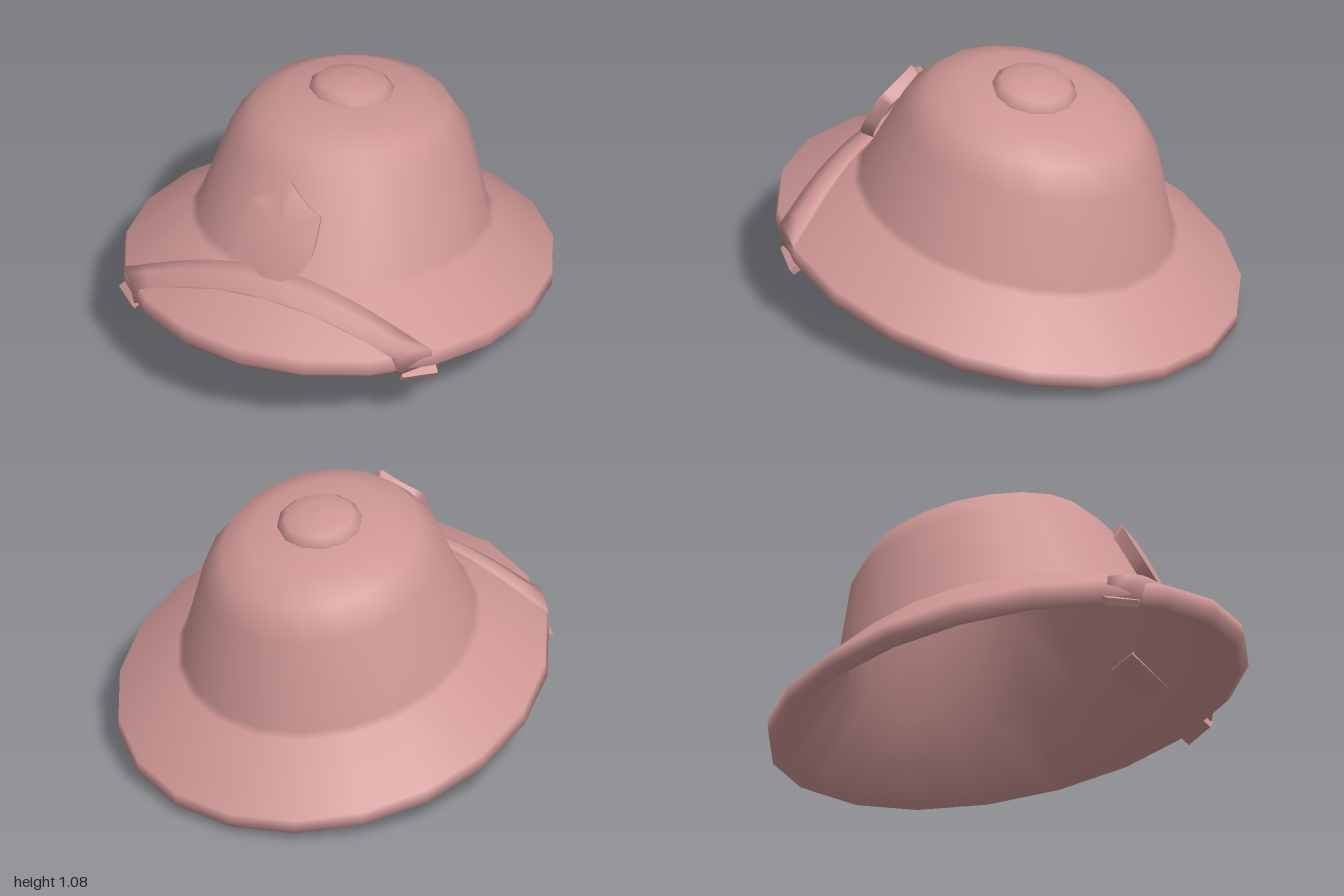
import * as THREE from 'three';

const TILT = THREE.MathUtils.degToRad(10);
const BASE_Y = 0.2;
const BRIM_WIDTH = 0.855; // the helmet is an oval, narrower across than front to back
const CROWN_WIDTH = 0.865;
const material = new THREE.MeshStandardMaterial({ color: 0xcd9694, side: THREE.DoubleSide });

function part(name, geometry) {
  const mesh = new THREE.Mesh(geometry, material);
  mesh.name = name;
  return mesh;
}

function lathe(profile, sides) {
  return new THREE.LatheGeometry(profile.map(([r, y]) => new THREE.Vector2(r, y)), sides);
}

// Geometry from a list of positions and triangle corners
function indexed(positions, index) {
  const geometry = new THREE.BufferGeometry();
  geometry.setAttribute('position', new THREE.Float32BufferAttribute(positions, 3));
  geometry.setIndex(index);
  geometry.computeVertexNormals();
  return geometry;
}

// Height of the tilted brim's upper surface at a given x, z
function brimHeight(x, z) {
  const s = Math.sin(TILT), c = Math.cos(TILT);
  let y = 0.45;
  for (let i = 0; i < 12; i++) {
    const u = z * c + (y - BASE_Y) * s;
    const r = THREE.MathUtils.clamp(Math.hypot(u, x / BRIM_WIDTH), 0.68, 1.01);
    y = BASE_Y + (0.271 - 0.62 * (r - 0.68) + z * s) / c;
  }
  return y;
}

// Arched strap lying over the front of the brim, ends reaching down past the rim
function strapGeometry() {
  const steps = 16, ring = 5, positions = [], index = [];
  for (let i = 0; i <= steps; i++) {
    const t = (i / steps) * 2 - 1, bend = t * t;
    const xb = 0.695 * t, xf = 0.6 * t, xm = (xb + xf) / 2;
    const zb = 0.615 - 0.02 * bend, zf = 0.745 - 0.02 * bend, zm = (zb + zf) / 2;
    const depth = 0.04 + 0.06 * bend * bend;
    const yb = brimHeight(xb, zb) + 0.012;
    const yf = brimHeight(xf, zf) + 0.006;
    const ym = brimHeight(xm, zm) + 0.025;
    const tuck = 0.015 * bend;
    positions.push(xb * 0.98, yb - depth, zb - tuck, xb, yb, zb, xm, ym, zm, xf, yf, zf, xf, yf - depth, zf - tuck);
  }
  for (let i = 0; i < steps; i++) {
    for (let j = 0; j < ring; j++) {
      const a = i * ring + j, b = i * ring + (j + 1) % ring;
      index.push(a, b, a + ring, b, b + ring, a + ring);
    }
  }
  // End caps
  const last = steps * ring;
  for (let j = 1; j < ring - 1; j++) {
    index.push(0, j + 1, j, last, last + j, last + j + 1);
  }
  return indexed(positions, index);
}

// Shield plate with a pointed top, rounded foot and domed face
function shieldGeometry() {
  const shape = new THREE.Shape();
  shape.moveTo(0, 0);
  shape.bezierCurveTo(0.09, 0.01, 0.16, 0.09, 0.16, 0.18);
  shape.lineTo(0.16, 0.315);
  shape.quadraticCurveTo(0.07, 0.35, 0, 0.425);
  shape.quadraticCurveTo(-0.07, 0.35, -0.16, 0.315);
  shape.lineTo(-0.16, 0.18);
  shape.bezierCurveTo(-0.16, 0.09, -0.09, 0.01, 0, 0);
  const outline = shape.getPoints(6).slice(0, -1);
  const n = outline.length, midY = 0.22, positions = [], index = [];
  // Each ring is the outline scaled about its middle: [scale, depth]
  const rings = [[0.9, -0.045], [1, 0.01], [1, 0.01], [0.8, 0.018], [0.5, 0.025], [0.25, 0.028], [0, 0.029]];
  for (const [s, z] of rings) {
    for (const p of outline) positions.push(p.x * s, midY + (p.y - midY) * s, z);
  }
  for (let k = 0; k < rings.length - 1; k++) {
    if (k === 1) continue; // sharp edge between wall and face
    for (let j = 0; j < n; j++) {
      const a = k * n + j, b = k * n + (j + 1) % n;
      index.push(a, b, a + n, b, b + n, a + n);
    }
  }
  return indexed(positions, index);
}

export function createModel() {
  const model = new THREE.Group();
  model.name = 'helmet';

  // Everything turned about the helmet's axis leans back together
  const tilted = new THREE.Group();
  tilted.name = 'helmetBody';
  tilted.position.y = BASE_Y;
  tilted.rotation.x = -TILT;
  model.add(tilted);

  // Crown and brim: lining, rolled rim, then outer surface
  const shell = lathe([
    [0, 0.805], [0.31, 0.78], [0.44, 0.725], [0.53, 0.62], [0.65, 0.24],
    [0.97, -0.03], [1.015, 0.005], [1.01, 0.065],
    [0.71, 0.252], [0.68, 0.271], [0.556, 0.635], [0.46, 0.751], [0.326, 0.809], [0.158, 0.832], [0, 0.838],
  ], 20);
  const points = shell.attributes.position;
  for (let i = 0; i < points.count; i++) {
    points.setX(i, points.getX(i) * (points.getY(i) > 0.2 ? CROWN_WIDTH : BRIM_WIDTH));
  }
  tilted.add(part('crownAndBrim', shell));

  // Domed button on top
  const button = part('topButton', lathe([
    [0.168, 0.8], [0.177, 0.838], [0.145, 0.866], [0.08, 0.884], [0, 0.89],
  ], 12));
  button.position.z = 0.01;
  tilted.add(button);

  // Flat tabs against the lining, running in from the strap ends
  for (const side of [1, -1]) {
    const tab = part(side > 0 ? 'leftLiningTab' : 'rightLiningTab', new THREE.BoxGeometry(0.16, 0.03, 0.445));
    tab.position.set(0.535 * side, 0.107, 0.541);
    tab.rotation.set(0.721, 0.844 * side, 0, 'YXZ');
    tilted.add(tab);
  }

  model.add(part('brimStrap', strapGeometry()));

  // Badge leaning against the front of the crown
  const badge = part('frontBadge', shieldGeometry());
  badge.position.set(0, 0.573, 0.67);
  badge.rotation.x = THREE.MathUtils.degToRad(-29);
  model.add(badge);

  return model;
}
